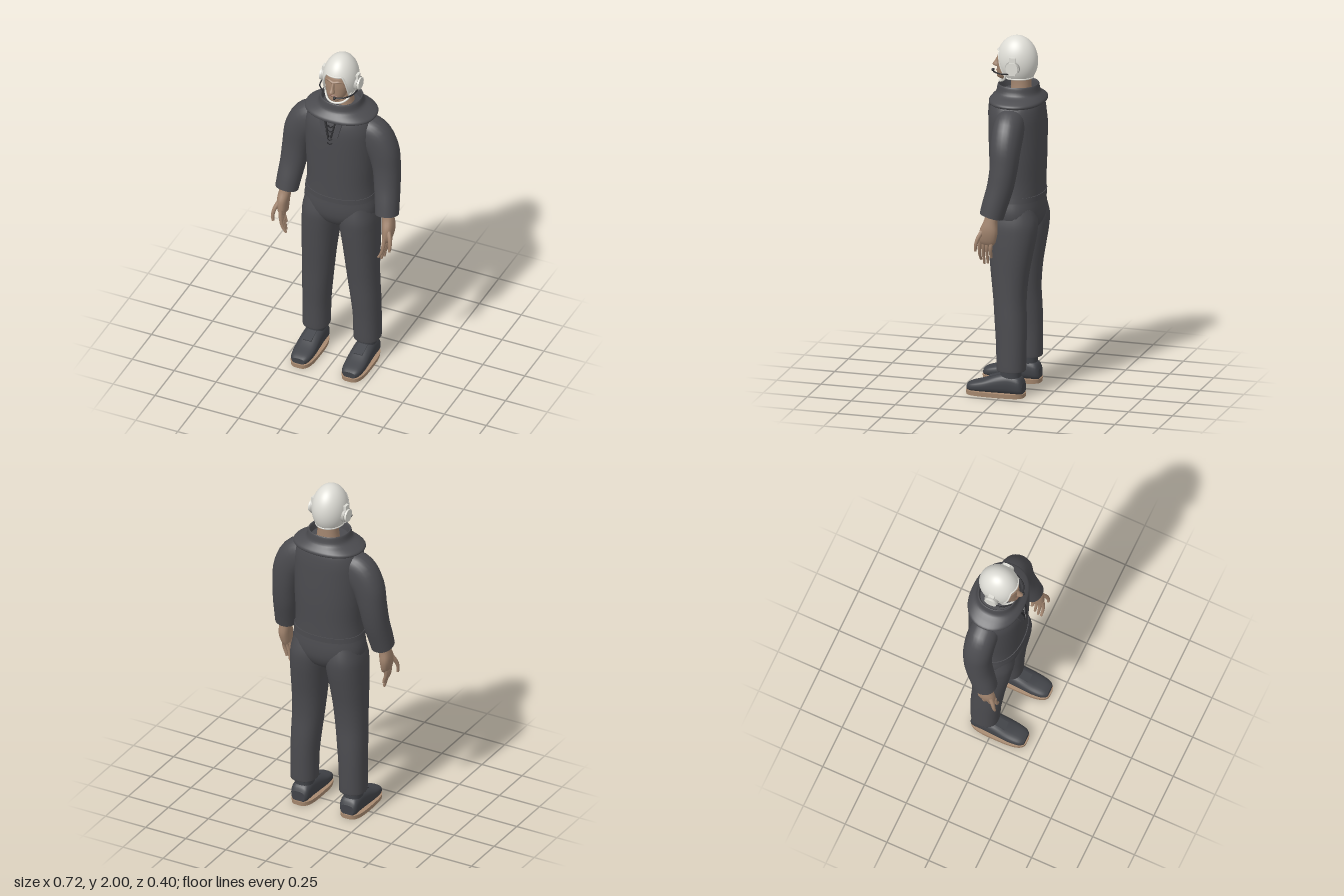
import * as THREE from 'three';

const mat = (name, color, side = THREE.FrontSide) =>
  Object.assign(new THREE.MeshStandardMaterial({ color, side }), { name });
const M = {
  suit: mat('charcoal suit', 0x4b4b4f),
  shoe: mat('dark shoe', 0x414348),
  trim: mat('black trim', 0x2b2b2e),
  skin: mat('skin', 0xa1846e),
  lips: mat('lips', 0x8c6656),
  sole: mat('tan sole', 0xa88a70),
  shell: mat('white shell', 0xdeddd6, THREE.DoubleSide),
  pad: mat('grey pad', 0xbdbcb6),
};

const V = (x, y, z) => new THREE.Vector3(x, y, z);
const UP = V(0, 1, 0);

// Catmull-Rom refinement of rows of numbers
function refine(rows, k) {
  const out = [];
  for (let i = 0; i < rows.length - 1; i++) {
    const a = rows[Math.max(i - 1, 0)], b = rows[i], c = rows[i + 1], d = rows[Math.min(i + 2, rows.length - 1)];
    for (let s = 0; s < k; s++) {
      const t = s / k;
      out.push(b.map((p, j) => p + 0.5 * t * (c[j] - a[j] + t * (2 * a[j] - 5 * p + 4 * c[j] - d[j]
        + t * (3 * (p - c[j]) + d[j] - a[j])))));
    }
  }
  out.push(rows[rows.length - 1]);
  return out;
}

// Skin through rows [x, y, z, depth radius, width radius]; rings lie across a fixed axis or the path itself
function loft(rows, { axis = null, n = 2, seg = 28, k = 4, caps = true } = {}) {
  const R = refine(rows, k), pos = [], idx = [];
  const C = R.map(r => V(r[0], r[1], r[2]));
  const ring = i => {
    const t = axis ? axis.clone() : C[Math.min(i + 1, C.length - 1)].clone().sub(C[Math.max(i - 1, 0)]).normalize();
    const u = Math.abs(t.z) > 0.9 ? V(0, 1, 0) : V(0, 0, 1);
    u.addScaledVector(t, -u.dot(t)).normalize();
    const v = t.clone().cross(u);
    for (let j = 0; j < seg; j++) {
      const a = j / seg * Math.PI * 2, c = Math.cos(a), s = Math.sin(a);
      const p = C[i].clone().addScaledVector(u, R[i][3] * Math.sign(c) * Math.abs(c) ** (2 / n))
        .addScaledVector(v, R[i][4] * Math.sign(s) * Math.abs(s) ** (2 / n));
      pos.push(p.x, p.y, p.z);
    }
  };
  R.forEach((_, i) => ring(i));
  for (let i = 0; i < R.length - 1; i++) for (let j = 0; j < seg; j++) {
    const a = i * seg + j, b = i * seg + (j + 1) % seg;
    idx.push(a, b, a + seg, b, b + seg, a + seg);
  }
  if (caps) for (const i of [0, R.length - 1]) {
    const o = pos.length / 3;
    ring(i);
    pos.push(C[i].x, C[i].y, C[i].z);
    for (let j = 0; j < seg; j++) {
      const a = o + j, b = o + (j + 1) % seg;
      idx.push(...(i ? [a, b, o + seg] : [b, a, o + seg]));
    }
  }
  const g = new THREE.BufferGeometry();
  g.setAttribute('position', new THREE.Float32BufferAttribute(pos, 3));
  g.setIndex(idx);
  g.computeVertexNormals();
  return g;
}

const tube = (pts, r, closed = false) =>
  new THREE.TubeGeometry(new THREE.CatmullRomCurve3(pts.map(p => V(...p)), closed), closed ? 96 : 20, r, 8, closed);

// Helmet: ellipsoid whose lower edge rises around the face
const H = { y: 1.86, z: -0.04, rx: 0.097, ry: 0.14, rz: 0.114 };
function helmetPoint(phi, f) {
  const x = -Math.cos(phi), z = Math.sin(phi);
  const th = f * (1.15 + 1.12 * THREE.MathUtils.smoothstep(Math.abs(Math.atan2(x, z)), 0.5, 1.15));
  return V(H.rx * x * Math.sin(th), H.y + H.ry * Math.cos(th), H.z + H.rz * z * Math.sin(th));
}
function helmetShell() {
  const g = new THREE.SphereGeometry(1, 64, 28, 0, Math.PI * 2, 0, 3);
  const { position: P, uv, normal: N } = g.attributes;
  for (let i = 0; i < P.count; i++) {
    const p = helmetPoint(uv.getX(i) * Math.PI * 2, 1 - uv.getY(i));
    P.setXYZ(i, p.x, p.y, p.z);
    const q = V(p.x / H.rx ** 2, (p.y - H.y) / H.ry ** 2, (p.z - H.z) / H.rz ** 2).normalize();
    N.setXYZ(i, q.x, q.y, q.z);
  }
  return g;
}

export function createModel() {
  const model = new THREE.Group();
  model.name = 'figure';
  const add = (name, geo, material, parent = model) => {
    const m = new THREE.Mesh(geo, material);
    m.name = name;
    parent.add(m);
    return m;
  };
  const box = (name, w, h, d, x, y, z, material, parent) => {
    const m = add(name, new THREE.BoxGeometry(w, h, d), material, parent);
    m.position.set(x, y, z);
    return m;
  };
  const upright = { axis: UP, n: 2.2, seg: 40 };

  // Jacket, hem and trousers seat
  add('jacket', loft([[0, 1.1, -0.045, 0.144, 0.2], [0, 1.2, -0.045, 0.146, 0.192], [0, 1.35, -0.045, 0.151, 0.198],
    [0, 1.5, -0.042, 0.152, 0.2], [0, 1.58, -0.042, 0.148, 0.195], [0, 1.64, -0.045, 0.135, 0.17],
    [0, 1.68, -0.045, 0.11, 0.12]], upright), M.suit);
  add('hem', loft([[0, 1.1, -0.045, 0.148, 0.204], [0, 1.13, -0.045, 0.149, 0.2]], upright), M.suit);
  add('seat', loft([[0, 0.9, -0.05, 0.07, 0.05], [0, 0.93, -0.048, 0.11, 0.13], [0, 0.98, -0.047, 0.137, 0.197],
    [0, 1.04, -0.046, 0.145, 0.21], [0, 1.11, -0.045, 0.141, 0.197]], upright), M.suit);

  // Cowl collar, outside up over the rim and down inside
  add('collar', loft([[0, 1.63, -0.046, 0.14, 0.185], [0, 1.638, -0.046, 0.152, 0.203], [0, 1.652, -0.046, 0.151, 0.201],
    [0, 1.668, -0.046, 0.138, 0.172], [0, 1.69, -0.046, 0.119, 0.128], [0, 1.728, -0.046, 0.111, 0.117],
    [0, 1.734, -0.046, 0.106, 0.111], [0, 1.725, -0.046, 0.1, 0.105], [0, 1.69, -0.046, 0.095, 0.1]], upright), M.suit);

  // Neck fastening: hanging flaps and lacing
  for (const s of [-1, 1]) {
    const flap = box('collarFlap', 0.028, 0.095, 0.012, 0.043 * s, 1.595, 0.101, M.suit);
    flap.rotation.set(-0.14, 0, -0.22 * s);
    const edge = box('neckOpeningEdge', 0.008, 0.1, 0.008, 0.018 * s, 1.59, 0.107, M.trim);
    edge.rotation.set(-0.14, 0, -0.2 * s);
    for (let i = 0; i < 5; i++) {
      const lace = box('lace', 0.018, 0.005, 0.008, 0.007 * s, 1.5 + i * 0.027, 0.11 - i * 0.002, M.trim);
      lace.rotation.z = 0.6 * s;
    }
  }

  for (const s of [-1, 1]) {
    const side = s > 0 ? 'left' : 'right';
    const flip = rows => rows.map(([x, ...r]) => [x * s, ...r]);

    // Trouser leg
    add(side + 'Leg', loft(flip([[0.152, 0.15, -0.053, 0.077, 0.072], [0.152, 0.165, -0.053, 0.08, 0.074],
      [0.15, 0.3, -0.052, 0.083, 0.075], [0.144, 0.42, -0.047, 0.087, 0.08], [0.135, 0.55, -0.04, 0.09, 0.086],
      [0.128, 0.68, -0.038, 0.103, 0.092], [0.121, 0.8, -0.042, 0.12, 0.099], [0.113, 0.9, -0.046, 0.134, 0.105],
      [0.107, 0.98, -0.047, 0.138, 0.106], [0.1, 1.06, -0.046, 0.12, 0.096]]), { axis: UP, n: 2.3 }), M.suit);

    // Shoe
    const shoe = new THREE.Group();
    shoe.name = side + 'Shoe';
    model.add(shoe);
    add('sole', loft(flip([[0.152, 0, 0.034, 0.164, 0.066], [0.152, 0.024, 0.034, 0.166, 0.068]]),
      { axis: UP, n: 3.2, k: 1, seg: 48 }), M.sole);
    add('shoeUpper', loft(flip([[0.152, 0.05, -0.124, 0.03, 0.04], [0.152, 0.064, -0.105, 0.05, 0.053],
      [0.152, 0.074, -0.05, 0.06, 0.056], [0.152, 0.068, 0.02, 0.053, 0.059], [0.152, 0.053, 0.1, 0.036, 0.061],
      [0.152, 0.044, 0.165, 0.026, 0.053], [0.152, 0.04, 0.191, 0.018, 0.036]]),
      { axis: V(0, 0, 1), n: 2.8 }), M.shoe, shoe);
    add('ankle', loft(flip([[0.152, 0.06, -0.05, 0.063, 0.052], [0.152, 0.11, -0.05, 0.056, 0.05],
      [0.152, 0.17, -0.053, 0.056, 0.052]]), { axis: UP, n: 2.6 }), M.shoe, shoe);
    const tongue = box('tongue', 0.05, 0.012, 0.09, 0.152 * s, 0.112, 0.03, M.shoe, shoe);
    tongue.rotation.x = 0.3;

    // Sleeve
    add(side + 'Sleeve', loft(flip([[0.1, 1.565, -0.05, 0.075, 0.07], [0.185, 1.525, -0.05, 0.083, 0.098],
      [0.243, 1.44, -0.05, 0.082, 0.09], [0.268, 1.33, -0.046, 0.076, 0.077], [0.28, 1.22, -0.03, 0.072, 0.071],
      [0.292, 1.12, -0.003, 0.069, 0.066], [0.299, 1.055, 0.014, 0.066, 0.063]]), { n: 2.2 }), M.suit);

    // Hand: palm, four fingers and thumb
    const hand = new THREE.Group();
    hand.name = side + 'Hand';
    model.add(hand);
    add('palm', loft(flip([[0.302, 1.08, 0.008, 0.034, 0.03], [0.308, 1.03, 0.016, 0.036, 0.032],
      [0.315, 0.975, 0.025, 0.05, 0.031], [0.312, 0.925, 0.034, 0.048, 0.025], [0.306, 0.9, 0.038, 0.04, 0.018]]),
      { n: 2.4, seg: 16 }), M.skin, hand);
    const finger = (name, p, r) => add(name, loft(flip(p.map((q, i) => [...q, r * (1 - 0.15 * i), r * (1 - 0.15 * i)])),
      { seg: 10 }), M.skin, hand);
    [[0.072, 0.8], [0.05, 0.78], [0.028, 0.785], [0.006, 0.82]].forEach(([z, tip], i) =>
      finger('finger', [[0.31, 0.93, z], [0.306 + 0.004 * i, 0.88, z + 0.008],
        [0.296 + 0.003 * i, 0.835, z + 0.01], [0.277 + 0.008 * i, tip, z + 0.008]], 0.0125));
    finger('thumb', [[0.322, 0.985, 0.05], [0.342, 0.94, 0.076], [0.35, 0.9, 0.088], [0.347, 0.865, 0.092]], 0.014);
  }

  // Neck, head and face
  const head = new THREE.Group();
  head.name = 'head';
  model.add(head);
  add('neck', loft([[0, 1.66, -0.06, 0.06, 0.068], [0, 1.74, -0.062, 0.054, 0.058], [0, 1.82, -0.055, 0.058, 0.06]],
    upright), M.skin, head);
  add('skull', loft([[0, 1.754, 0.032, 0.03, 0.02], [0, 1.765, 0.026, 0.048, 0.038], [0, 1.79, 0.012, 0.062, 0.055],
    [0, 1.825, -0.002, 0.073, 0.068], [0, 1.86, -0.01, 0.078, 0.075], [0, 1.91, -0.03, 0.088, 0.077],
    [0, 1.95, -0.04, 0.06, 0.05]], { axis: UP, n: 2.1 }), M.skin, head);
  add('nose', loft([[0, 1.818, 0.068, 0.016, 0.014], [0, 1.828, 0.078, 0.023, 0.015], [0, 1.85, 0.071, 0.016, 0.009],
    [0, 1.882, 0.058, 0.012, 0.008]], { axis: UP, seg: 14 }), M.skin, head);
  add('brow', tube([[-0.055, 1.875, 0.036], [-0.028, 1.885, 0.056], [0, 1.88, 0.063], [0.028, 1.885, 0.056],
    [0.055, 1.875, 0.036]], 0.008), M.skin, head);
  add('mouth', tube([[-0.024, 1.797, 0.068], [0, 1.799, 0.074], [0.024, 1.797, 0.068]], 0.005), M.lips, head);

  // Helmet, rim, straps, ear cups and microphone
  const helmet = new THREE.Group();
  helmet.name = 'helmet';
  model.add(helmet);
  add('helmetShell', helmetShell(), M.shell, helmet);
  const rim = Array.from({ length: 48 }, (_, i) => helmetPoint(i / 48 * Math.PI * 2, 1).toArray());
  add('helmetRim', tube(rim, 0.005, true), M.shell, helmet);
  add('chinStrap', tube([[-0.078, 1.8, 0], [-0.068, 1.765, 0.015], [-0.04, 1.746, 0.045], [0, 1.742, 0.058],
    [0.04, 1.746, 0.045], [0.068, 1.765, 0.015], [0.078, 1.8, 0]], 0.006), M.shell, helmet);
  for (const s of [-1, 1]) {
    const cup = (name, r, w, x, material) => {
      const m = add(name, new THREE.CylinderGeometry(r, r, w, 24), material, helmet);
      m.rotation.z = Math.PI / 2;
      m.position.set(x * s, 1.84, -0.042);
    };
    cup('earPad', 0.04, 0.026, 0.094, M.pad);
    cup('earCup', 0.035, 0.014, 0.111, M.shell);
    box('earBracket', 0.016, 0.1, 0.034, 0.1 * s, 1.85, -0.042, M.shell, helmet);
  }
  add('microphoneBoom', tube([[0.108, 1.81, -0.03], [0.1, 1.803, 0.02], [0.07, 1.803, 0.07], [0.02, 1.8, 0.092]],
    0.004), M.trim, helmet);
  add('microphoneWire', tube([[-0.108, 1.81, -0.03], [-0.1, 1.805, 0.02], [-0.062, 1.802, 0.062]], 0.004), M.trim, helmet);
  const mic = add('microphone', new THREE.SphereGeometry(0.009, 12, 8), M.trim, helmet);
  mic.position.set(0.02, 1.8, 0.092);

  return model;
}
